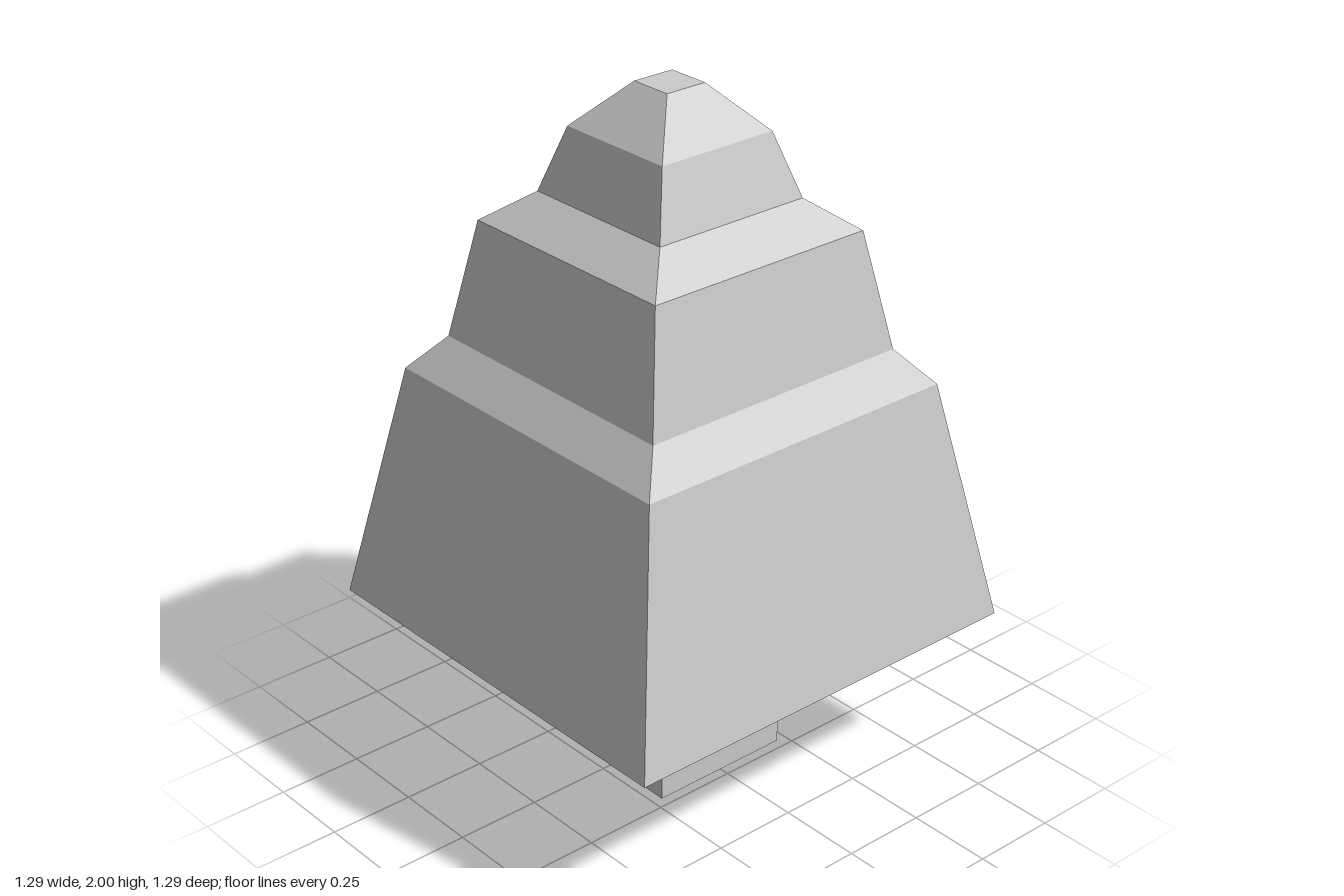
import * as THREE from 'three';

const material = new THREE.MeshStandardMaterial({ color: 0xcccccc, flatShading: true });

// Square-section solid turned from a profile of [half width, height], bottom to top
function squareLathe(name, profile) {
  const points = profile.map(([half, y]) => new THREE.Vector2(half * Math.SQRT2, y));
  const geometry = new THREE.LatheGeometry(points, 4, Math.PI / 4).toNonIndexed();
  geometry.computeVertexNormals();
  const mesh = new THREE.Mesh(geometry, material);
  mesh.name = name;
  return mesh;
}

export function createModel() {
  const tree = new THREE.Group();
  tree.name = 'tree';

  // Square trunk, from the ground to the underside of the foliage
  const trunk = new THREE.Mesh(new THREE.BoxGeometry(0.44, 0.455, 0.44), material);
  trunk.name = 'trunk';
  trunk.position.y = 0.455 / 2;
  tree.add(trunk);

  // Three stepped tiers of foliage with a small flat top
  tree.add(squareLathe('foliage', [
    [0, 0.455], [0.644, 0.455],   // flat underside
    [0.508, 1.163], [0.422, 1.263], // lower tier and its shoulder
    [0.358, 1.603], [0.245, 1.69],  // middle tier and its shoulder
    [0.187, 1.873], [0.064, 2],     // top tier
    [0, 2],
  ]));

  return tree;
}
